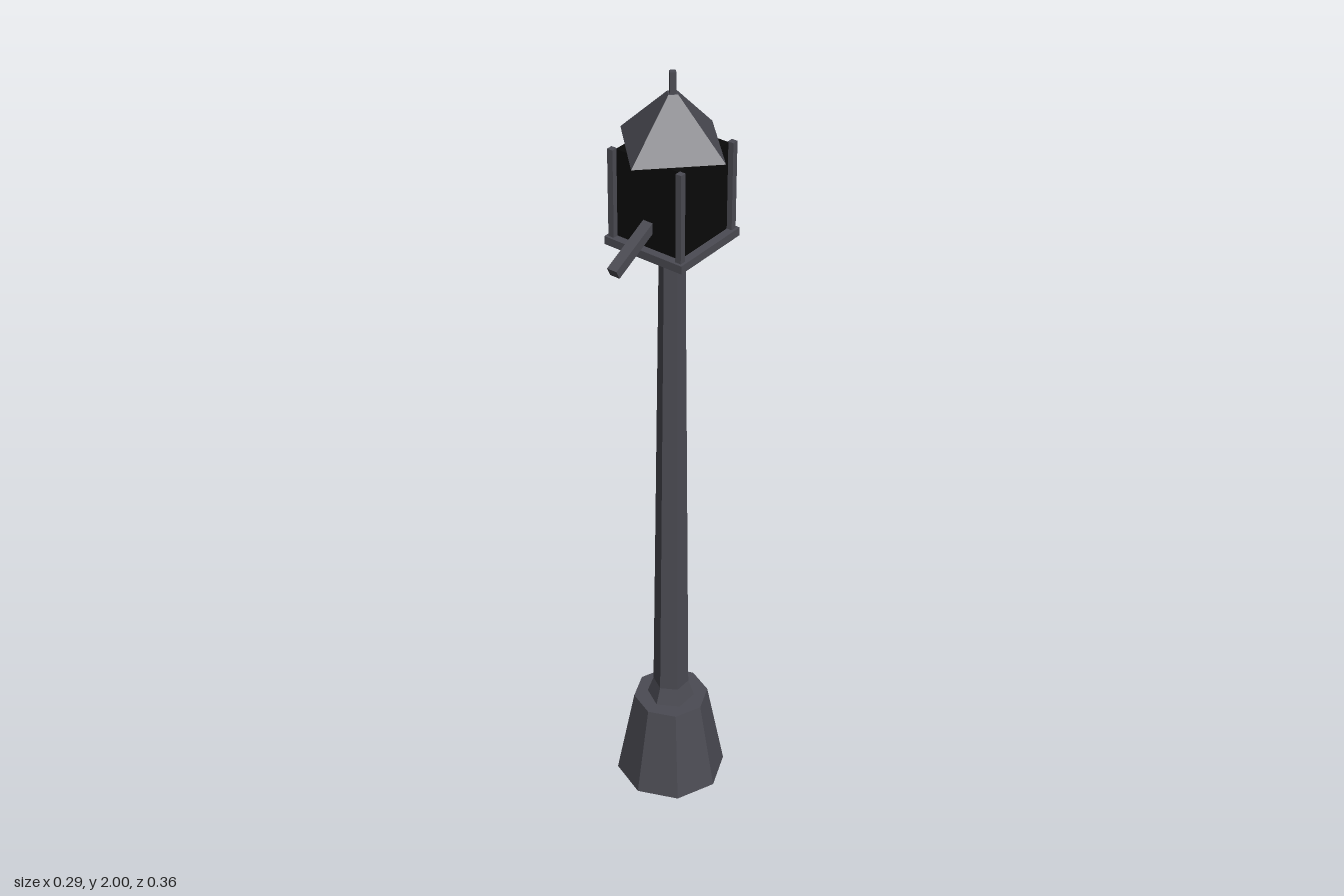
import * as THREE from 'three';

export function createModel() {
  const model = new THREE.Group();
  const iron = new THREE.MeshStandardMaterial({ color: 0x4b4b53 });
  iron.name = 'darkIron';
  const glass = new THREE.MeshStandardMaterial({ color: 0x0a0a0a });
  glass.name = 'blackGlass';

  // Everything but the arm stands on one axis, set back from the origin
  const axisZ = -0.035;

  function add(name, geometry, material, x, y, z) {
    const mesh = new THREE.Mesh(geometry, material);
    mesh.name = name;
    mesh.position.set(x, y, z);
    model.add(mesh);
    return mesh;
  }

  // Faceted tapered section between two heights
  function taper(name, rBottom, rTop, y0, y1, sides) {
    const geometry = new THREE.CylinderGeometry(rTop, rBottom, y1 - y0, sides).toNonIndexed();
    geometry.computeVertexNormals();
    return add(name, geometry, iron, 0, (y0 + y1) / 2, axisZ);
  }

  // Octagonal foot, hexagonal collar and shaft
  taper('foot', 0.14, 0.095, 0, 0.245, 8);
  taper('collar', 0.06, 0.045, 0.245, 0.29, 6);
  taper('shaft', 0.045, 0.03, 0.29, 1.59, 6);

  // Lantern: floor, dark panes and corner posts
  add('lanternFloor', new THREE.BoxGeometry(0.214, 0.02, 0.214), iron, 0, 1.6, axisZ);
  add('lanternPanes', new THREE.BoxGeometry(0.174, 0.215, 0.174), glass, 0, 1.7165, axisZ);
  for (const sx of [-1, 1]) {
    for (const sz of [-1, 1]) {
      add('cornerPost', new THREE.BoxGeometry(0.015, 0.217, 0.015), iron,
        sx * 0.093, 1.7175, axisZ + sz * 0.093);
    }
  }

  // Four-sided roof, turned against the lantern, with a finial
  taper('roof', 0.144, 0.015, 1.825, 1.95, 4);
  taper('finial', 0.01, 0.01, 1.95, 2, 4);

  // Sloping arm at the front
  const arm = add('arm', new THREE.BoxGeometry(0.026, 0.024, 0.16), iron, 0, 1.637, 0.102);
  arm.rotation.x = 0.46;

  return model;
}
